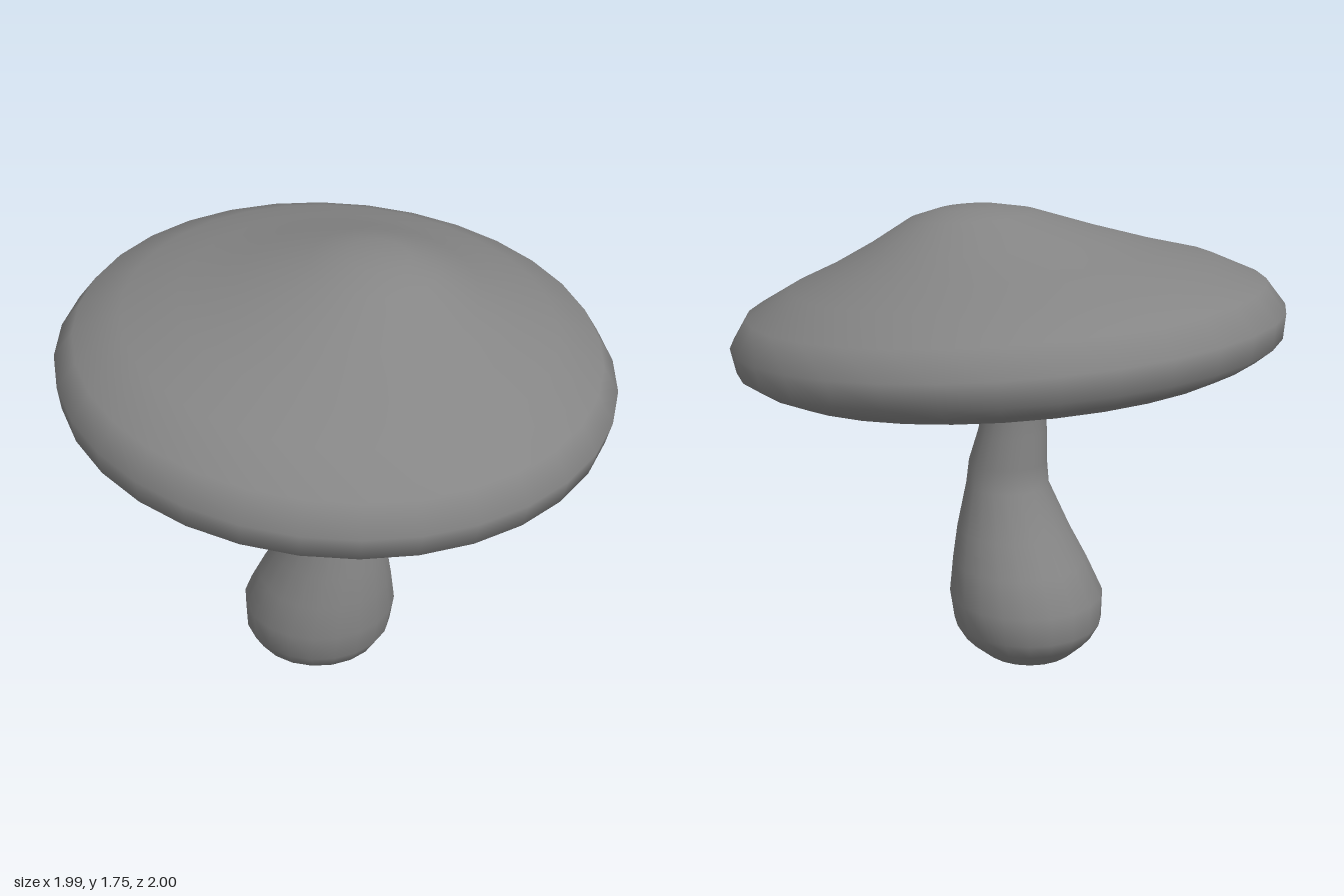
import * as THREE from 'three';
import { mergeVertices } from 'three/addons/utils/BufferGeometryUtils.js';

const material = new THREE.MeshStandardMaterial({ color: 0x858585, side: THREE.DoubleSide });

// Lathe a profile, move every vertex by a rule, then weld the seam for smooth normals.
function shapedLathe(profile, segments, rule) {
  const points = profile.map(([r, y]) => new THREE.Vector2(r, y));
  const lathe = new THREE.LatheGeometry(points, segments);
  lathe.deleteAttribute('uv');
  lathe.deleteAttribute('normal');
  const pos = lathe.attributes.position;
  const v = new THREE.Vector3();
  for (let i = 0; i < pos.count; i++) {
    v.fromBufferAttribute(pos, i);
    rule(v, i % points.length);
    pos.setXYZ(i, v.x, v.y, v.z);
  }
  const geometry = mergeVertices(lathe, 1e-4);
  geometry.computeVertexNormals();
  return geometry;
}

// The crown leans slightly to the back and to the left.
function leanCrown(v) {
  const lean = THREE.MathUtils.clamp((v.y - 0.35) / 0.25, 0, 1);
  v.x += 0.08 * lean;
  v.z -= 0.085 * lean;
}

function addMesh(parent, name, geometry) {
  const mesh = new THREE.Mesh(geometry, material);
  mesh.name = name;
  parent.add(mesh);
  return mesh;
}

export function createModel() {
  const model = new THREE.Group();
  model.name = 'mushroom';

  // Bent stem with a bulbous foot and flared top: radius, height, sideways offset
  const stem = [
    [0, 0, -0.08], [0.1, 0.01, -0.08], [0.17, 0.035, -0.075], [0.245, 0.1, -0.07],
    [0.28, 0.16, -0.068], [0.29, 0.27, -0.06], [0.253, 0.4, -0.03], [0.212, 0.52, 0],
    [0.155, 0.69, 0.027], [0.146, 0.78, 0.025], [0.128, 0.9, 0.004], [0.114, 1.0, -0.003],
    [0.109, 1.16, -0.028], [0.13, 1.28, -0.04], [0.09, 1.33, -0.04], [0, 1.35, -0.04],
  ];
  addMesh(model, 'stem', shapedLathe(stem, 20, (v, row) => {
    v.x += stem[row][2];
    v.z += 0.04;
  }));

  // Tilted cap
  const cap = new THREE.Group();
  cap.name = 'cap';
  cap.position.set(-0.02, 1.157, -0.005);
  cap.rotation.set(0.02, 0, -0.1);
  model.add(cap);

  // Outer skin
  const skin = [
    [0.84, 0], [0.92, 0.035], [0.985, 0.08], [1.0, 0.17], [0.935, 0.267], [0.77, 0.35],
    [0.6, 0.408], [0.42, 0.48], [0.225, 0.567], [0.11, 0.594], [0, 0.6],
  ];
  addMesh(cap, 'capSkin', shapedLathe(skin, 32, leanCrown));

  // Hollow inside, following the skin
  const lining = [
    [0, 0.57], [0.1, 0.565], [0.215, 0.538], [0.41, 0.452], [0.59, 0.38], [0.755, 0.322],
    [0.91, 0.25], [0.97, 0.17], [0.955, 0.095], [0.905, 0.05], [0.84, 0],
  ];
  addMesh(cap, 'capLining', shapedLathe(lining, 32, leanCrown));

  // Radial gills hanging from the lining, reaching from the stem to the rim
  const outline = [
    [0.03, 0.15], [0.4, 0.13], [0.86, 0.06], [0.94, 0.12], [0.93, 0.2], [0.78, 0.3],
    [0.6, 0.36], [0.4, 0.43], [0.2, 0.51], [0.03, 0.55],
  ];
  const blade = new THREE.Shape(outline.map(([r, y]) => new THREE.Vector2(r, y)));
  const thickness = 0.012;
  const bladeGeometry = new THREE.ExtrudeGeometry(blade, { depth: thickness, bevelEnabled: false });
  bladeGeometry.translate(0, 0, -thickness / 2);
  const gills = new THREE.Group();
  gills.name = 'gills';
  cap.add(gills);
  const gillCount = 9;
  for (let i = 0; i < gillCount; i++) {
    addMesh(gills, 'gill', bladeGeometry).rotation.y = (i / gillCount) * Math.PI * 2 - 1.1;
  }

  return model;
}
